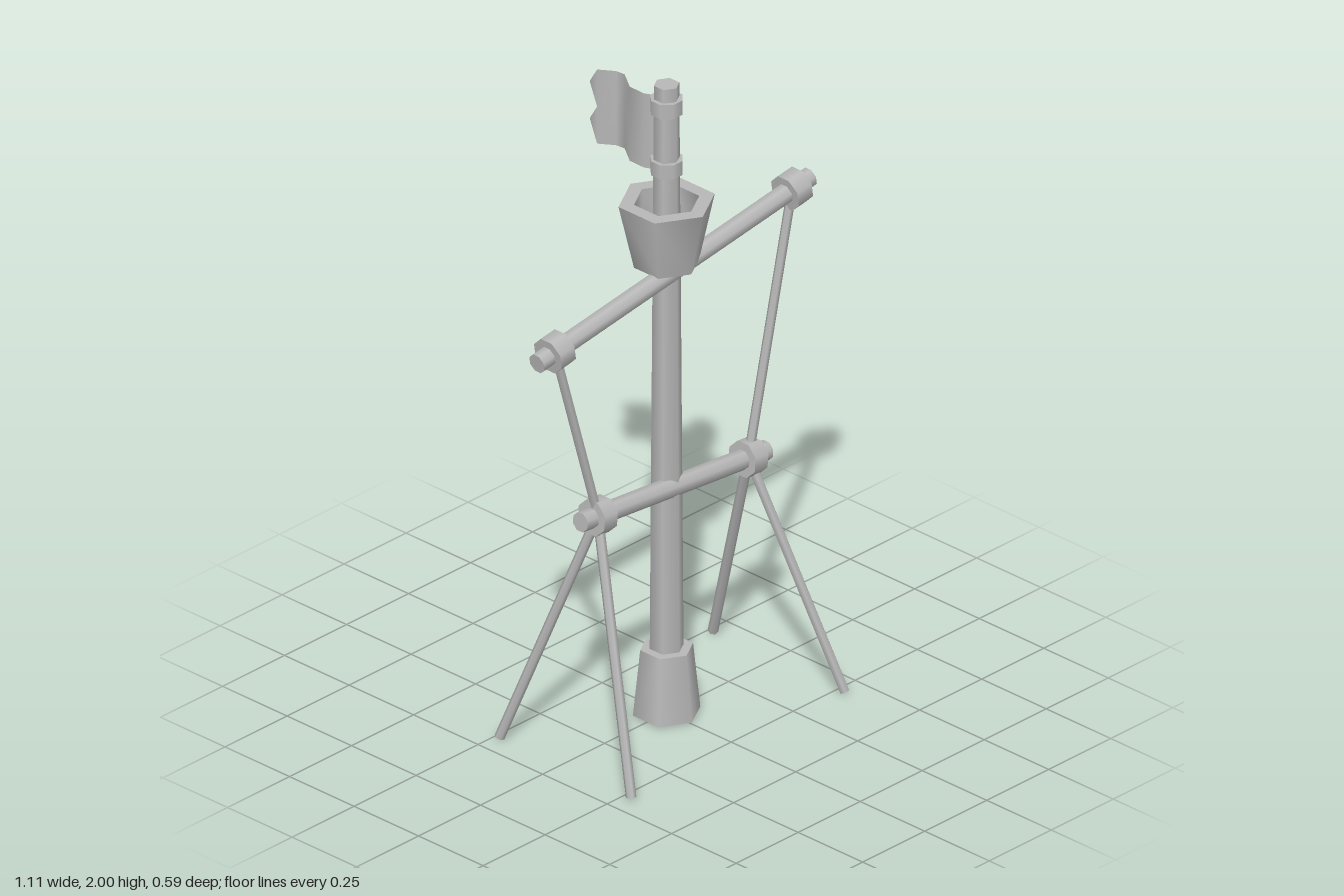
import * as THREE from 'three';
import { toCreasedNormals } from 'three/addons/utils/BufferGeometryUtils.js';

const V = (x, y, z) => new THREE.Vector3(x, y, z);
const YARD_Z = 0.025;

export function createModel() {
  const model = new THREE.Group();
  const grey = new THREE.MeshStandardMaterial({ color: 0xb8b8b8 });
  grey.name = 'grey';
  const greyCloth = grey.clone();
  greyCloth.name = 'greyCloth';
  greyCloth.side = THREE.DoubleSide;

  function add(name, geometry, material = grey) {
    const mesh = new THREE.Mesh(geometry, material);
    mesh.name = name;
    model.add(mesh);
    return mesh;
  }

  // Upright tapered prism between two heights
  function upright(name, rBottom, rTop, y0, y1, sides = 6, turn = 0) {
    const g = new THREE.CylinderGeometry(rTop, rBottom, y1 - y0, sides);
    g.rotateY(turn);
    g.translate(0, (y0 + y1) / 2, 0);
    return add(name, g);
  }

  // Straight pole between two points
  function pole(name, a, b, r, sides) {
    const g = new THREE.CylinderGeometry(r, r, a.distanceTo(b), sides);
    g.rotateY(Math.PI / sides);
    const mesh = add(name, g);
    mesh.position.copy(a).lerp(b, 0.5);
    mesh.quaternion.setFromUnitVectors(V(0, 1, 0), b.clone().sub(a).normalize());
    return mesh;
  }

  // Mast with its foot and two flag bands
  upright('mast', 0.05, 0.037, 0.1, 2);
  upright('mastFoot', 0.098, 0.077, 0.005, 0.21);
  for (const y of [1.72, 1.912]) upright('flagBand', 0.048, 0.048, y, y + 0.045, 8, Math.PI / 8);

  // Hollow lookout basket
  const profile = [[0, 1.43], [0.095, 1.43], [0.14, 1.63], [0.095, 1.63], [0.095, 1.46], [0, 1.46]];
  add('lookoutBasket', toCreasedNormals(
    new THREE.LatheGeometry(profile.map(([r, y]) => new THREE.Vector2(r, y)), 6), 1.2));

  // Two slanted yards, each with a lashing near either end
  function yard(name, a, b, lashX, lashWidth) {
    pole(name, a, b, 0.03, 8);
    const dir = b.clone().sub(a).normalize();
    return lashX.map((x) => {
      const p = a.clone().lerp(b, (x - a.x) / (b.x - a.x));
      const half = dir.clone().multiplyScalar(lashWidth / 2);
      pole(name + 'Lashing', p.clone().sub(half), p.clone().add(half), 0.055, 8);
      return p;
    });
  }
  const upper = yard('upperYard', V(-0.549, 1.335, YARD_Z), V(0.549, 1.498, YARD_Z), [-0.476, 0.48], 0.058);
  const lower = yard('lowerYard', V(-0.374, 0.762, YARD_Z), V(0.374, 0.697, YARD_Z), [-0.303, 0.304], 0.052);

  // Stays between the yards, and two splayed stays to the ground on each side
  const footX = [-0.434, 0.426];
  for (let i = 0; i < 2; i++) {
    pole('upperStay', upper[i], lower[i], 0.014, 6);
    for (const z of [0.28, -0.23]) pole('lowerStay', lower[i], V(footX[i], 0.006, z), 0.015, 6);
  }

  // Rippling flag with a double pointed tail
  const ripple = [[-0.012, -0.035], [-0.025, -0.065], [-0.024, -0.12], [0.018, -0.18], [0.015, -0.21], [-0.015, -0.255]];
  const heights = [1.72, 1.838, 1.956];
  const pos = [], index = [];
  for (const [x, z] of ripple) for (const y of heights) pos.push(x, y, z);
  for (let c = 0; c < ripple.length - 1; c++) {
    for (let r = 0; r < 2; r++) {
      const a = c * 3 + r;
      index.push(a, a + 3, a + 1, a + 1, a + 3, a + 4);
    }
  }
  const last = (ripple.length - 1) * 3;
  for (let r = 0; r < 2; r++) {
    index.push(last + r, pos.length / 3, last + r + 1);
    pos.push(0, (heights[r] + heights[r + 1]) / 2, -0.298);
  }
  const cloth = new THREE.BufferGeometry();
  cloth.setAttribute('position', new THREE.Float32BufferAttribute(pos, 3));
  cloth.setIndex(index);
  cloth.computeVertexNormals();
  add('flag', cloth, greyCloth);

  return model;
}
